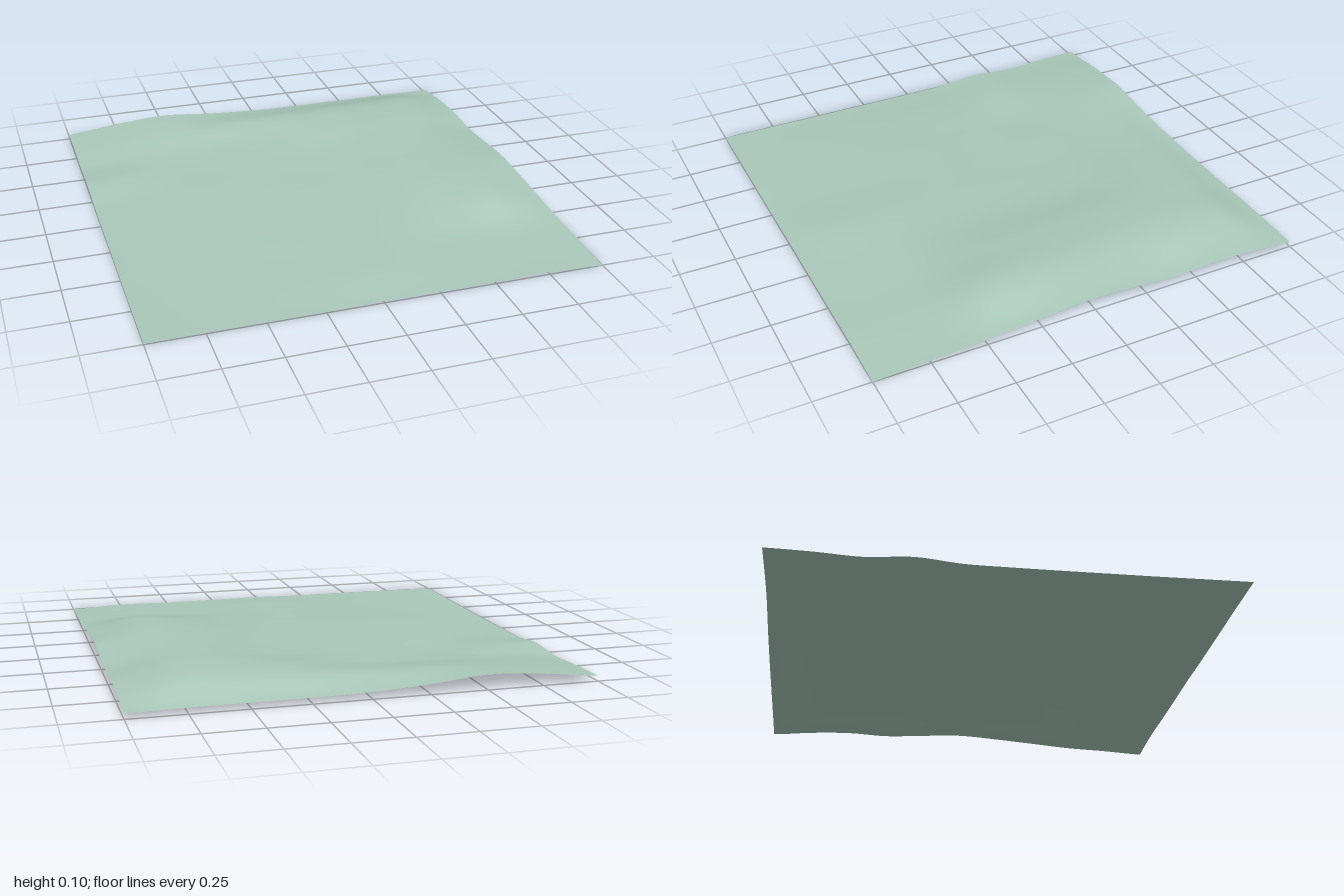
import * as THREE from 'three';

// Heights in thousandths: rows run back (z = -1) to front (z = 1), columns x = -1 to 1
const HEIGHTS = [
  [25, 52, 67, 46, 32, 28, 28, 28, 24],
  [20, 46, 60, 61, 65, 73, 80, 84, 42],
  [10, 29, 36, 40, 50, 72, 90, 94, 50],
  [24, 31, 28, 35, 40, 54, 86, 91, 42],
  [6, 22, 28, 33, 38, 48, 82, 92, 54],
  [3, 19, 26, 32, 38, 46, 80, 95, 64],
  [2, 16, 24, 30, 36, 42, 75, 94, 52],
  [2, 12, 19, 25, 32, 36, 56, 80, 36],
  [2, 9, 14, 19, 28, 27, 27, 32, 20],
  [3, 7, 10, 14, 25, 19, 17, 18, 12],
  [4, 6, 6, 6, 10, 9, 9, 12, 1],
];

// Smooth cubic through evenly spaced values, t from 0 to 1
function cubic(values, t) {
  const last = values.length - 1;
  const i = Math.min(Math.floor(t * last), last - 1);
  const f = t * last - i;
  const at = (k) => values[Math.max(0, Math.min(last, k))];
  const [a, b, c, d] = [at(i - 1), at(i), at(i + 1), at(i + 2)];
  return b + 0.5 * f * (c - a + f * (2 * a - 5 * b + 4 * c - d + f * (3 * (b - c) + d - a)));
}

function heightAt(x, z) {
  const u = THREE.MathUtils.clamp((x + 1) / 2, 0, 1);
  const v = THREE.MathUtils.clamp((z + 1) / 2, 0, 1);
  return Math.max(0, cubic(HEIGHTS.map((row) => cubic(row, u)), v) / 1000);
}

export function createModel() {
  const model = new THREE.Group();
  model.name = 'rollingGround';

  const paleGreen = new THREE.MeshStandardMaterial({ color: 0xa9c8b9, side: THREE.DoubleSide });
  paleGreen.name = 'pale green';

  // Thin sheet raised into gentle hills
  const geometry = new THREE.PlaneGeometry(2, 2, 80, 80).rotateX(-Math.PI / 2);
  const p = geometry.attributes.position;
  for (let i = 0; i < p.count; i++) p.setY(i, heightAt(p.getX(i), p.getZ(i)));
  geometry.computeVertexNormals();

  const sheet = new THREE.Mesh(geometry, paleGreen);
  sheet.name = 'groundSheet';
  model.add(sheet);
  return model;
}
